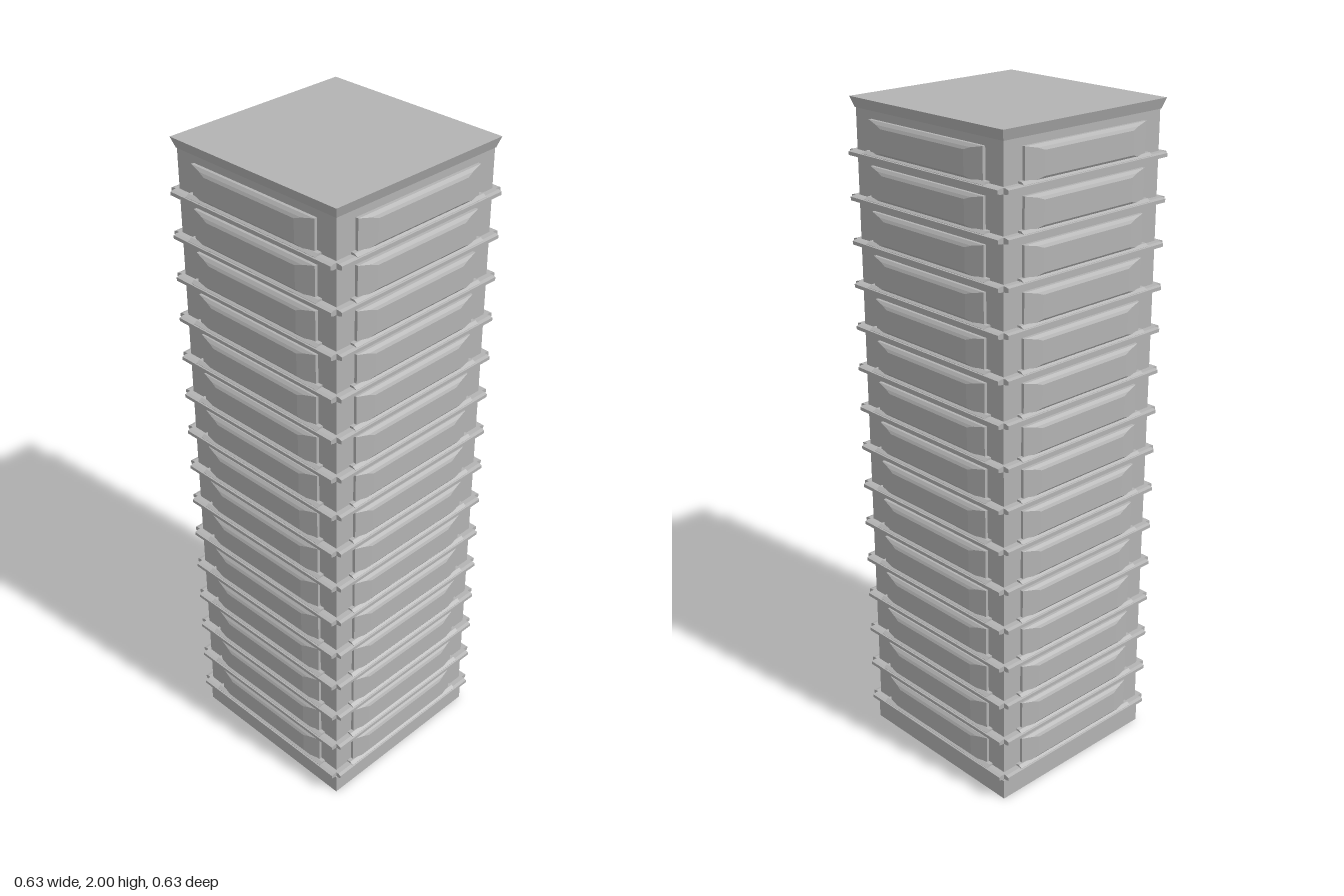
import * as THREE from 'three';

const FLOORS = 15, PITCH = 0.126, FIRST = 0.076;

// Closed solid lofted through rectangles [halfWidth, yLow, yHigh, z], back to front
function loftRects(rects) {
  const pos = [];
  const rings = rects.map(([w, a, b, z]) => [[-w, a, z], [w, a, z], [w, b, z], [-w, b, z]]);
  const quad = (a, b, c, d) => pos.push(...a, ...b, ...c, ...a, ...c, ...d);
  for (let r = 0; r + 1 < rings.length; r++) {
    for (let i = 0; i < 4; i++) {
      const j = (i + 1) % 4;
      quad(rings[r][i], rings[r][j], rings[r + 1][j], rings[r + 1][i]);
    }
  }
  quad(...rings[rings.length - 1]);
  quad(...rings[0].slice().reverse());
  const geo = new THREE.BufferGeometry();
  geo.setAttribute('position', new THREE.Float32BufferAttribute(pos, 3));
  geo.computeVertexNormals();
  return geo;
}

export function createModel() {
  const tower = new THREE.Group();
  tower.name = 'tower';
  const stone = new THREE.MeshStandardMaterial({ color: 0xb3b3b3 });
  stone.name = 'grey stone';

  const add = (parent, geo, name, x = 0, y = 0, z = 0) => {
    const mesh = new THREE.Mesh(geo, stone);
    mesh.name = name;
    mesh.position.set(x, y, z);
    parent.add(mesh);
    return mesh;
  };

  // Square core, plinth and flared roof slab
  add(tower, new THREE.BoxGeometry(0.58, 1.93, 0.58), 'core', 0, 1.015, 0);
  add(tower, new THREE.BoxGeometry(0.588, 0.064, 0.588), 'plinth', 0, 0.032, 0);
  const slab = new THREE.CylinderGeometry(0.302 * Math.SQRT2, 0.292 * Math.SQRT2, 0.03, 4, 1)
    .rotateY(Math.PI / 4).toNonIndexed();
  slab.computeVertexNormals();
  add(tower, slab, 'roofSlab', 0, 1.985, 0);

  // Chamfered ledge, raised sill and shallow bowed window bay
  const ledge = loftRects([
    [0.297, 0, 0.016, 0.28], [0.297, 0, 0.016, 0.306], [0.297, 0.003, 0.013, 0.316],
  ]);
  const sill = loftRects([
    [0.24, 0.01, 0.022, 0.28], [0.24, 0.01, 0.022, 0.302], [0.24, 0.01, 0.015, 0.312],
  ]);
  const bay = loftRects([
    [0.225, 0.014, 0.108, 0.28], [0.225, 0.014, 0.108, 0.299],
    [0.187, 0.02, 0.1, 0.306], [0.165, 0.026, 0.092, 0.31],
  ]);

  // Every floor repeats the same trim on all four sides
  for (let f = 0; f < FLOORS; f++) {
    const floor = new THREE.Group();
    floor.name = 'floor';
    floor.position.y = FIRST + f * PITCH;
    for (let s = 0; s < 4; s++) {
      const side = new THREE.Group();
      side.name = 'floorSide';
      side.rotation.y = s * Math.PI / 2;
      add(side, ledge, 'ledge');
      add(side, sill, 'sill');
      add(side, bay, 'windowBay');
      floor.add(side);
    }
    tower.add(floor);
  }
  return tower;
}
